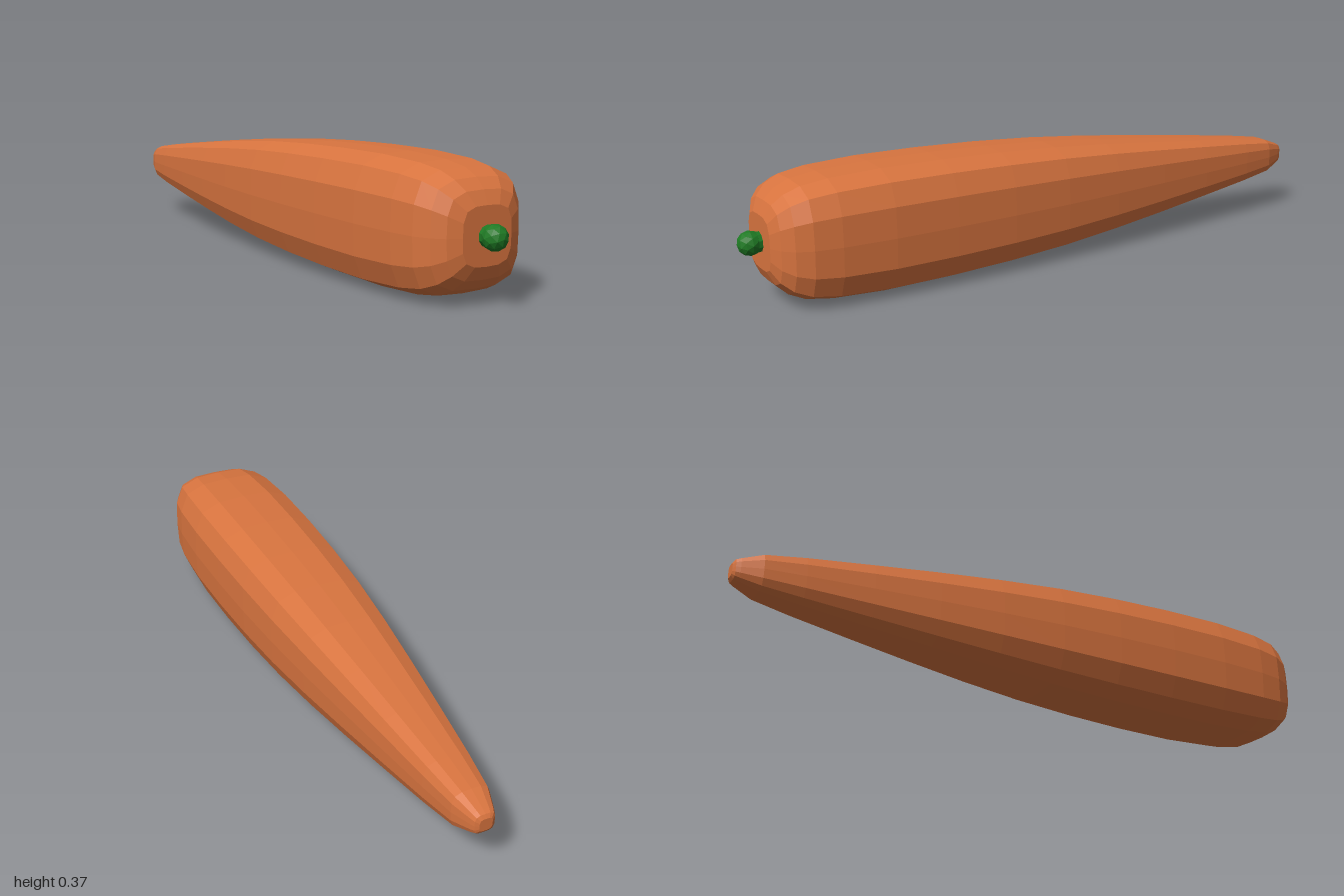
import * as THREE from 'three';

const CENTRE_Y = 0.188;

// Rounded-square section, 16 points, counter-clockwise seen from the front
function sectionPoints() {
  const side = [[1, 0], [0.98, 0.485], [0.835, 0.835], [0.485, 0.98]];
  const points = [];
  for (let q = 0; q < 4; q++) {
    for (const [x, y] of side) {
      points.push(new THREE.Vector2(x, y).rotateAround(new THREE.Vector2(), q * Math.PI / 2));
    }
  }
  return points;
}

// Skin the section along z, from front to back, and close both ends
function loft(stations) {
  const section = sectionPoints(), n = section.length;
  const positions = [], index = [];
  for (const [z, r] of stations) {
    for (const p of section) positions.push(p.x * r, p.y * r, z);
  }
  for (let i = 0; i < stations.length - 1; i++) {
    for (let j = 0; j < n; j++) {
      const k = (j + 1) % n;
      const a = i * n + j, b = i * n + k, c = a + n, d = b + n;
      index.push(a, c, b, b, c, d);
    }
  }
  const front = positions.length / 3, back = front + 1, last = (stations.length - 1) * n;
  positions.push(0, 0, stations[0][0], 0, 0, stations.at(-1)[0]);
  for (let j = 0; j < n; j++) {
    const k = (j + 1) % n;
    index.push(front, j, k, back, last + k, last + j);
  }
  const geometry = new THREE.BufferGeometry();
  geometry.setAttribute('position', new THREE.Float32BufferAttribute(positions, 3));
  geometry.setIndex(index);
  geometry.computeVertexNormals();
  return geometry;
}

export function createModel() {
  const group = new THREE.Group();
  group.name = 'carrot';
  const orange = new THREE.MeshStandardMaterial({ color: 0xd8743f, flatShading: true });
  const green = new THREE.MeshStandardMaterial({ color: 0x1f7a24, flatShading: true });

  function add(name, geometry, material, z) {
    const mesh = new THREE.Mesh(geometry, material);
    mesh.name = name;
    mesh.position.set(0, CENTRE_Y, z);
    group.add(mesh);
  }

  // Root: blunt shoulder at the front, long taper to a small tip
  add('root', loft([
    [0.935, 0.08], [0.917, 0.118], [0.887, 0.147], [0.84, 0.168], [0.76, 0.18],
    [0.6, 0.187], [0.4, 0.185], [0.2, 0.178], [0, 0.166], [-0.2, 0.148],
    [-0.4, 0.126], [-0.6, 0.102], [-0.8, 0.077], [-0.92, 0.059],
    [-0.98, 0.037], [-0.993, 0.031], [-1, 0.02],
  ]), orange, 0);

  // Stem: short neck with a faceted bud
  const neck = new THREE.CylinderGeometry(0.033, 0.029, 0.04, 10);
  neck.rotateX(Math.PI / 2);
  add('stemNeck', neck, green, 0.945);

  const bud = new THREE.IcosahedronGeometry(0.036, 1);
  bud.rotateX(Math.atan(2 / (1 + Math.sqrt(5))));
  add('stemBud', bud, green, 0.964);

  return group;
}
